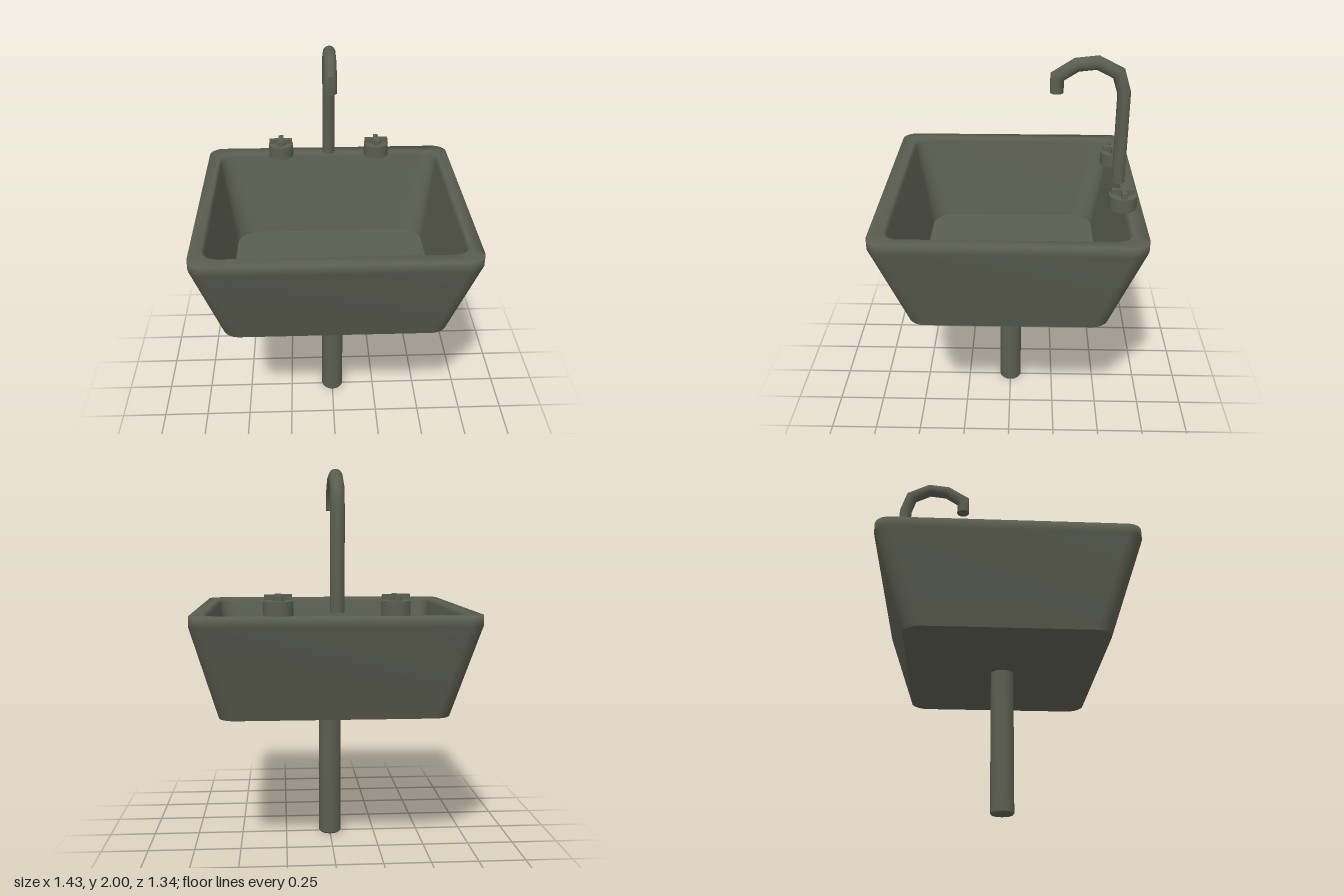
import * as THREE from 'three';
import { toCreasedNormals } from 'three/addons/utils/BufferGeometryUtils.js';

// Rounded rectangle in the xz plane at height y
function ring([y, hx, hz, r], steps = 8) {
  const pts = [];
  for (let k = 0; k < 4; k++) {
    const sx = k === 0 || k === 3 ? 1 : -1;
    const sz = k < 2 ? 1 : -1;
    for (let i = 0; i <= steps; i++) {
      const a = (k + i / steps) * Math.PI / 2;
      pts.push([sx * (hx - r) + r * Math.cos(a), y, sz * (hz - r) + r * Math.sin(a)]);
    }
  }
  return pts;
}

// Smooth skin through a list of rounded rectangles [y, halfX, halfZ, radius]
function loft(sections) {
  const rings = sections.map(s => ring(s));
  const n = rings[0].length;
  const index = [];
  for (let i = 0; i < rings.length - 1; i++) {
    for (let j = 0; j < n; j++) {
      const k = (j + 1) % n;
      const a = i * n + j, b = a + n, c = (i + 1) * n + k, d = i * n + k;
      index.push(a, b, c, a, c, d);
    }
  }
  const geo = new THREE.BufferGeometry();
  geo.setAttribute('position', new THREE.Float32BufferAttribute(rings.flat(2), 3));
  geo.setIndex(index);
  geo.computeVertexNormals();
  return geo;
}

// Cylinder bent along a path of [z, y] points, with mitred joints
function bentPipe(path, radius) {
  const last = path.length - 1;
  const pts = path.map(([z, y]) => new THREE.Vector2(z, y));
  const geo = new THREE.CylinderGeometry(radius, radius, 1, 20, last);
  const pos = geo.attributes.position;
  const dir = i => pts[i + 1].clone().sub(pts[i]).normalize();
  for (let v = 0; v < pos.count; v++) {
    const i = Math.round((pos.getY(v) + 0.5) * last);
    const before = dir(Math.max(i - 1, 0));
    const after = dir(Math.min(i, last - 1));
    const t = before.clone().add(after).normalize();
    const off = pos.getZ(v) / t.dot(after);
    pos.setXYZ(v, pos.getX(v), pts[i].y - t.x * off, pts[i].x + t.y * off);
  }
  return toCreasedNormals(geo, Math.PI / 3.2);
}

export function createModel() {
  const model = new THREE.Group();
  model.name = 'sink';
  const enamel = new THREE.MeshStandardMaterial({ color: 0x5a5d50 });
  enamel.name = 'dark olive grey';

  const add = (name, geo, x = 0, y = 0, z = 0, parent = model) => {
    const mesh = new THREE.Mesh(geo, enamel);
    mesh.name = name;
    mesh.position.set(x, y, z);
    parent.add(mesh);
    return mesh;
  };

  // Basin: outer wall, rim and inner wall in one skin
  const base = [0.77, 0.59, 0.515, 0.09];
  const floor = [0.82, 0.558, 0.486, 0.13];
  add('basin', loft([
    base,
    [1.25, 0.713, 0.672, 0.08],
    [1.302, 0.713, 0.672, 0.08],
    [1.302, 0.652, 0.6, 0.085],
    [1.28, 0.64, 0.585, 0.088],
    floor,
  ]));
  add('basinFloor', loft([floor, [0.82, 0, 0, 0]]));
  add('basinUnderside', loft([[0.77, 0, 0, 0], base]));

  // Drain plate with a circle of holes
  const plate = new THREE.Shape().absarc(0, 0, 0.105, 0, Math.PI * 2);
  for (let i = 0; i < 8; i++) {
    const a = i * Math.PI / 4;
    plate.holes.push(new THREE.Path().absarc(0.066 * Math.cos(a), 0.066 * Math.sin(a), 0.011, 0, Math.PI * 2, true));
  }
  const drain = new THREE.ExtrudeGeometry(plate, { depth: 0.006, bevelEnabled: false, curveSegments: 20 });
  drain.rotateX(-Math.PI / 2);
  add('drain', drain, 0, 0.82, 0);

  // Waste pipe with a softened lower edge
  const profile = [[0, 0], [0.056, 0], [0.062, 0.008], [0.062, 0.775]].map(p => new THREE.Vector2(...p));
  add('wastePipe', toCreasedNormals(new THREE.LatheGeometry(profile, 32), 0.6));

  // Swan neck tap
  add('tap', bentPipe([
    [-0.58, 1.315], [-0.58, 1.81], [-0.548, 1.912], [-0.44, 1.967],
    [-0.333, 1.955], [-0.236, 1.893], [-0.236, 1.81],
  ], 0.035));

  // Two handles: round base, short neck and a cross on top
  for (const [name, side] of [['leftHandle', 1], ['rightHandle', -1]]) {
    const handle = new THREE.Group();
    handle.name = name;
    handle.position.set(side * 0.284, 1.3, -0.575);
    add('handleBase', new THREE.CylinderGeometry(0.072, 0.072, 0.072, 28), 0, 0.036, 0, handle);
    add('handleNeck', new THREE.CylinderGeometry(0.03, 0.03, 0.02, 20), 0, 0.08, 0, handle);
    add('crossBarWide', new THREE.BoxGeometry(0.134, 0.026, 0.026), 0, 0.09, 0, handle);
    add('crossBarDeep', new THREE.BoxGeometry(0.028, 0.025, 0.116), 0, 0.09, 0, handle);
    model.add(handle);
  }
  return model;
}
